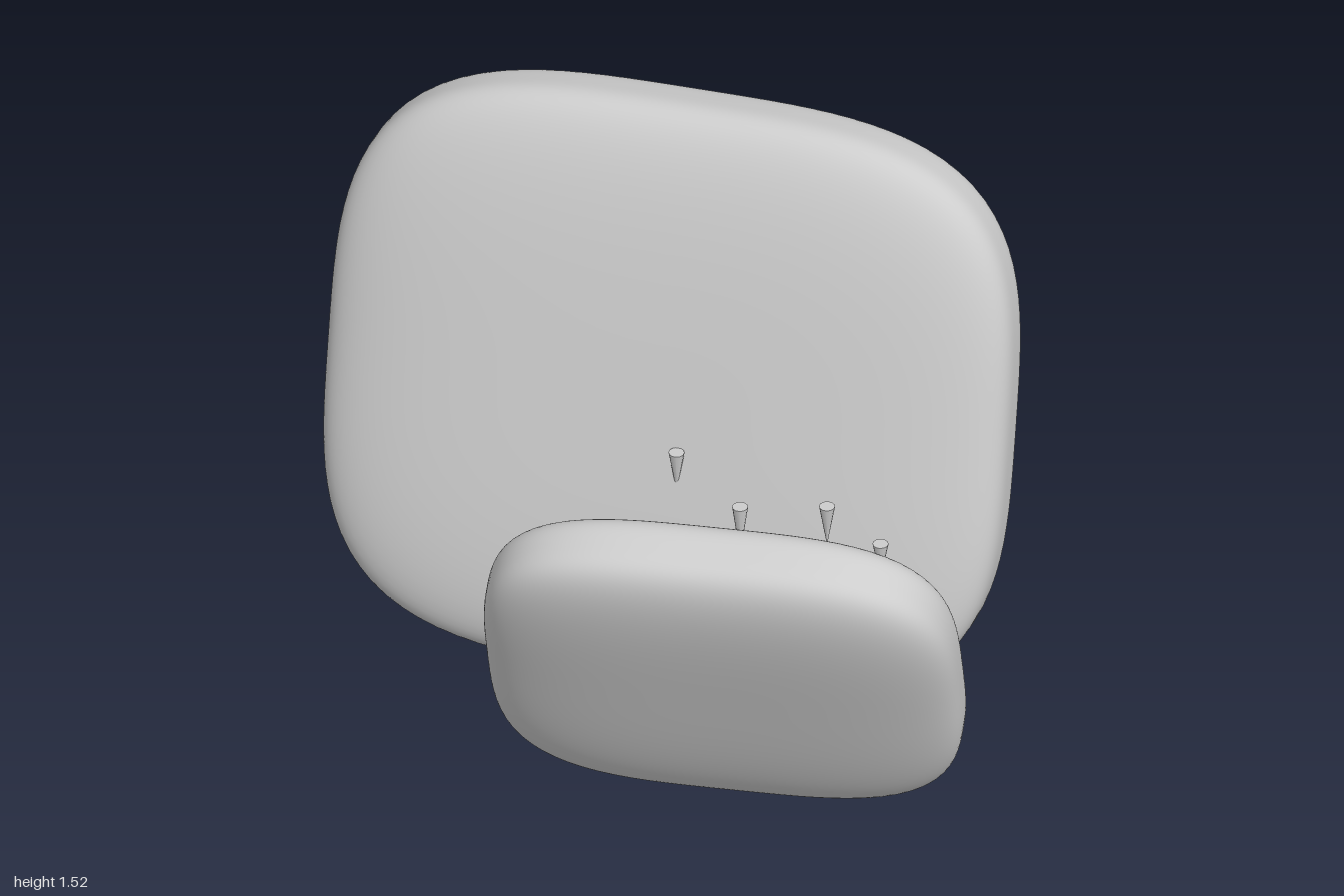
import * as THREE from 'three';
import { mergeVertices } from 'three/addons/utils/BufferGeometryUtils.js';

const stone = new THREE.MeshStandardMaterial({ color: 0xcccccc });
stone.name = 'stone grey';

// Pillow-like slab: a sphere squared off by exponents, then leaned and turned.
// corner sets how square the outline is, edge how tight the rim is.
function slab(name, { size, corner, edge, lean, yaw, centre }) {
  let geo = new THREE.IcosahedronGeometry(1, 22);
  geo.deleteAttribute('uv');
  geo.deleteAttribute('normal');
  geo = mergeVertices(geo, 1e-4);
  const pos = geo.attributes.position;
  const v = new THREE.Vector3();
  for (let i = 0; i < pos.count; i++) {
    v.fromBufferAttribute(pos, i);
    const rim = Math.pow(Math.abs(v.x) ** corner + Math.abs(v.y) ** corner, 1 / corner);
    v.divideScalar(Math.pow(rim ** edge + Math.abs(v.z) ** edge, 1 / edge));
    pos.setXYZ(i, v.x * size[0] / 2, v.y * size[1] / 2, v.z * size[2] / 2);
  }
  geo.computeVertexNormals();
  const mesh = new THREE.Mesh(geo, stone);
  mesh.name = name;
  mesh.rotation.set(lean, yaw, 0, 'YXZ');
  mesh.position.set(...centre);
  return mesh;
}

export function createModel() {
  const group = new THREE.Group();
  group.name = 'leaningStones';

  // Tall slab leaning back
  group.add(slab('largeSlab', {
    size: [1.75, 1.553, 0.34], corner: 3.5, edge: 3.7,
    lean: -0.255, yaw: 0.33, centre: [-0.14, 0.763, -0.268],
  }));

  // Short slab leaning forward
  group.add(slab('smallSlab', {
    size: [1.194, 1.035, 0.285], corner: 3.5, edge: 3.5,
    lean: 0.39, yaw: 0.42, centre: [0.415, 0.508, 0.328],
  }));

  // Row of small downward spikes between the slabs: x, top height, length
  const spikes = new THREE.Group();
  spikes.name = 'spikes';
  for (const [x, top, length] of [[-0.01, 0.71, 0.12], [0.18, 0.62, 0.15], [0.44, 0.73, 0.12], [0.6, 0.68, 0.11]]) {
    const spike = new THREE.Mesh(new THREE.ConeGeometry(0.02, length, 12), stone);
    spike.name = 'spike';
    spike.rotation.x = Math.PI;
    spike.position.set(x, top - length / 2, -0.093);
    spikes.add(spike);
  }
  group.add(spikes);
  return group;
}
